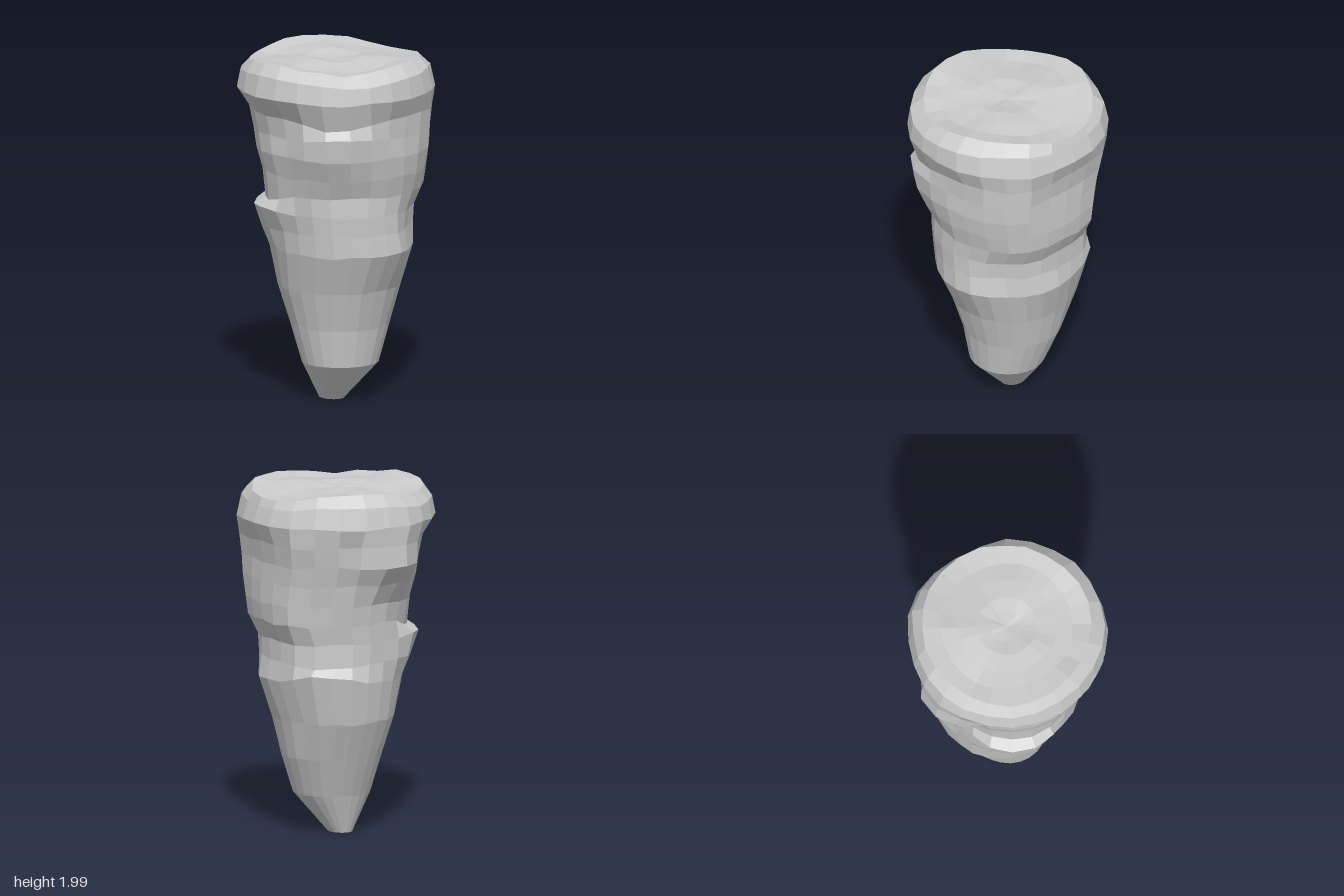
import * as THREE from 'three';

const SEG = 24;

// Repeatable noise in -1..1
function noise(i, j) {
  const s = Math.sin(i * 127.1 + j * 311.7 + 4.3) * 43758.5453;
  return (s - Math.floor(s)) * 2 - 1;
}

// 1 at the centre angle, fading to 0 at the given width (degrees)
function falloff(deg, centre, width) {
  const d = Math.abs(((deg - centre + 540) % 360) - 180);
  return Math.max(0, 1 - d / width);
}

// Levels of the trunk: y, x min, x max, z min (back), z max (front)
const LEVELS = [
  [0.00, -0.06, 0.07, -0.12, 0.04],
  [0.22, -0.20, 0.24, -0.19, 0.24],
  [0.44, -0.25, 0.32, -0.28, 0.28],
  [0.66, -0.31, 0.37, -0.36, 0.35],
  [0.89, -0.36, 0.44, -0.39, 0.46],
  [1.01, -0.37, 0.42, -0.39, 0.46],
  [1.12, -0.39, 0.42, -0.39, 0.46],
  [1.23, -0.40, 0.47, -0.40, 0.46],
  [1.34, -0.42, 0.48, -0.42, 0.49],
  [1.46, -0.45, 0.48, -0.45, 0.51],
  [1.57, -0.45, 0.48, -0.49, 0.51],
  [1.69, -0.47, 0.50, -0.51, 0.52],
  [1.80, -0.55, 0.54, -0.55, 0.575],
  [1.91, -0.53, 0.51, -0.53, 0.555],
];

// Long vertical corners and hollows: angle, width, strength
const CORNERS = [[-36, 28, 0.13], [30, 22, 0.045], [75, 22, -0.02], [105, 22, -0.02], [195, 22, 0.02]];

// Bark ledges, swellings and hollows: level, angle, width, push outwards, lift
const BUMPS = [
  // ledge high on the front
  [8, 130, 30, 0.02, 0], [9, 130, 32, 0.045, 0], [10, 128, 32, 0.07, 0.02], [11, 125, 30, 0.02, -0.05],
  // ledge halfway up the right and back
  [4, 215, 30, 0.01, 0], [5, 215, 38, 0.045, 0], [6, 205, 40, 0.075, 0.02], [7, 205, 38, 0, -0.06],
  // ledge low on the back
  [3, -62, 40, 0.02, 0], [4, -55, 40, 0.045, 0.05], [5, -55, 40, 0, -0.03],
  // swelling high on the back
  [9, -103, 28, 0.03, 0], [10, -103, 28, 0.08, 0], [11, -103, 28, 0.05, 0], [12, -103, 20, 0.015, 0],
  // front left hollow below, fuller above
  [4, 45, 24, -0.035, 0], [5, 45, 24, -0.04, 0], [6, 45, 24, -0.03, 0],
  [9, 45, 24, 0.02, 0], [10, 45, 24, 0.035, 0], [11, 45, 24, 0.025, 0],
];

// Three gentle swells around the rim
function rimWave(a) {
  return Math.cos(3 * (a - THREE.MathUtils.degToRad(54)));
}

function trunkRing(level, i) {
  const [y, x0, x1, z0, z1] = level;
  const ring = [];
  for (let j = 0; j < SEG; j++) {
    const deg = (j / SEG) * 360;
    const a = THREE.MathUtils.degToRad(deg);
    let push = 1;
    let lift = i === LEVELS.length - 1 ? 0.015 * rimWave(a) : 0;
    if (i > 1) {
      push += noise(i, j) * 0.008 + noise(99, j) * 0.006;
      lift += noise(j, i + 50) * 0.008;
    }
    const r = (x1 - x0 + z1 - z0) / 4;
    if (i > 4) {
      const strength = i < 12 ? 1 : 0.5;
      for (const [at, width, amount] of CORNERS) push += strength * amount * falloff(deg, at, width);
    }
    for (const [row, at, width, out, up] of BUMPS) {
      if (row !== i) continue;
      const f = Math.min(1, falloff(deg, at, width) * 1.6);
      push += (f * out) / r;
      lift += f * up;
    }
    ring.push(new THREE.Vector3(
      (x0 + x1) / 2 + ((x1 - x0) / 2) * Math.cos(a) * push,
      y + lift,
      (z0 + z1) / 2 + ((z1 - z0) / 2) * Math.sin(a) * push,
    ));
  }
  return ring;
}

// Ring of the uneven cut surface, wider and lower towards the left side
function topRing(radius, height, i) {
  const ring = [];
  for (let j = 0; j < SEG; j++) {
    const deg = (j / SEG) * 360;
    const a = THREE.MathUtils.degToRad(deg);
    const size = radius / 0.47;
    const side = size * size * falloff(deg, -8, 60);
    const r = radius * (1 + noise(i + 30, j) * 0.015) + 0.03 * side;
    const y = height + size * (0.02 * rimWave(a) + noise(j, i + 80) * 0.008) - 0.015 * side;
    ring.push(new THREE.Vector3(Math.cos(a) * r - 0.005, Math.min(2, y), Math.sin(a) * r));
  }
  return ring;
}

// Joins successive rings into flat four-sided facets
function skin(name, rings, material) {
  const pos = [];
  const nor = [];
  for (let i = 0; i + 1 < rings.length; i++) {
    for (let j = 0; j < SEG; j++) {
      const k = (j + 1) % SEG;
      const a = rings[i][j], b = rings[i][k], c = rings[i + 1][j], d = rings[i + 1][k];
      // one normal for the whole facet, from its diagonals
      const n = d.clone().sub(a).cross(b.clone().sub(c)).normalize();
      const corners = [];
      if (a !== b) corners.push(a, c, b);
      if (c !== d) corners.push(b, c, d);
      for (const p of corners) {
        pos.push(p.x, p.y, p.z);
        nor.push(n.x, n.y, n.z);
      }
    }
  }
  const geometry = new THREE.BufferGeometry();
  geometry.setAttribute('position', new THREE.Float32BufferAttribute(pos, 3));
  geometry.setAttribute('normal', new THREE.Float32BufferAttribute(nor, 3));
  const mesh = new THREE.Mesh(geometry, material);
  mesh.name = name;
  return mesh;
}

export function createModel() {
  const group = new THREE.Group();
  group.name = 'taperedStump';
  const material = new THREE.MeshStandardMaterial({ color: 0xcccccc });
  const point = (x, y, z) => new Array(SEG).fill(new THREE.Vector3(x, y, z));

  const trunk = LEVELS.map(trunkRing);
  const rim = topRing(0.475, 1.972, 0);

  // Bark from the blunt tip up to the rounded rim
  group.add(skin('bark', [...trunk, rim], material));

  // Flat underside of the tip
  group.add(skin('tip', [point(0.005, 0, -0.04), trunk[0]], material));

  // Wavy cut face, ring by ring to the middle
  const face = [[0.37, 1.96], [0.28, 1.965], [0.17, 1.972], [0.09, 1.96]]
    .map(([r, y], i) => topRing(r, y, i + 1));
  group.add(skin('cutFace', [rim, ...face, point(0, 1.955, 0)], material));

  return group;
}
